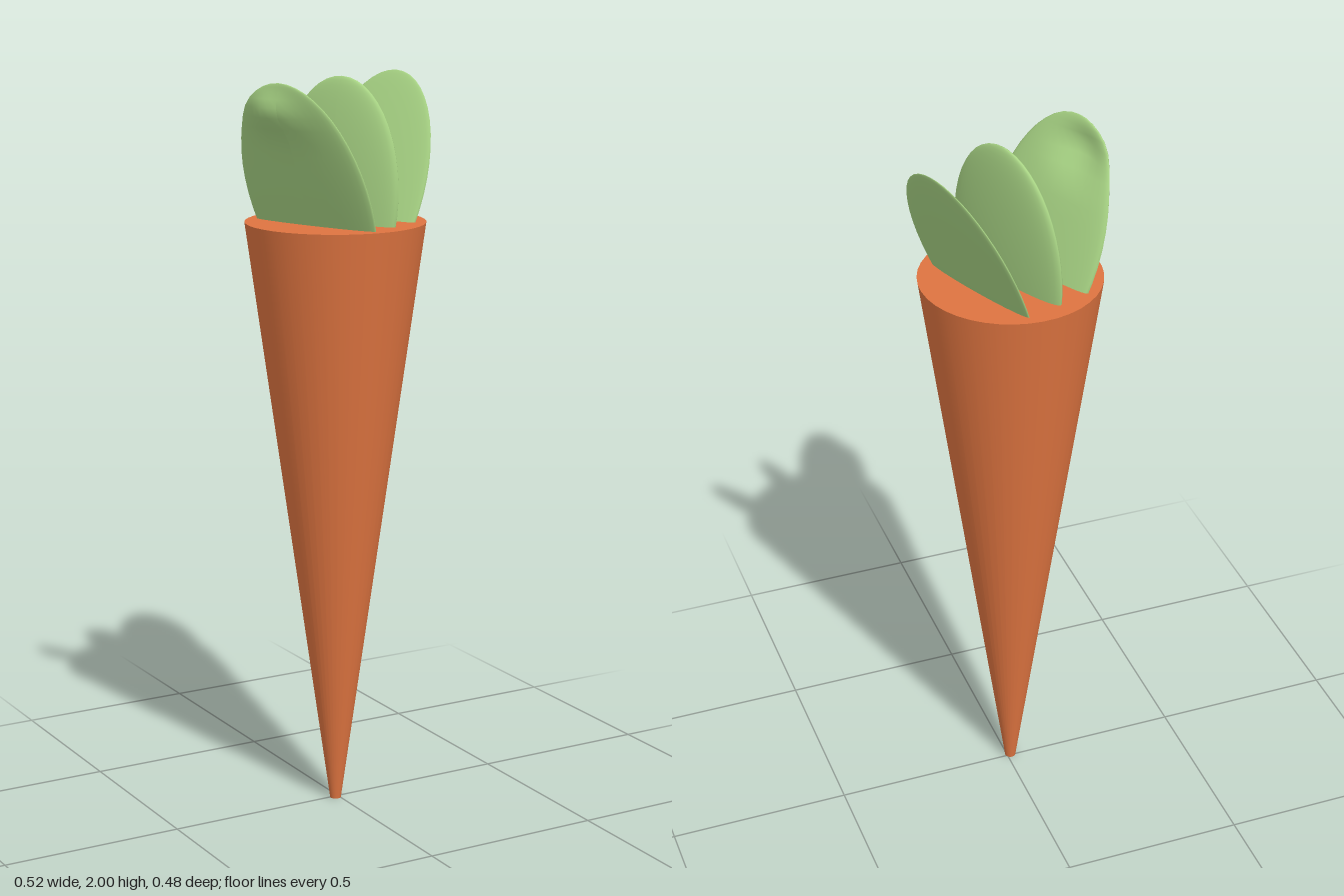
import * as THREE from 'three';

const ORANGE = new THREE.MeshStandardMaterial({ color: 0xde7440 });
const GREEN = new THREE.MeshStandardMaterial({ color: 0xa9d585 });

const ROOT_TOP = 1.62;

// Flattened oval leaf: local x is its thickness, z its width; it leans along x.
function makeLeaf({ name, thick, width, base, lean, curl = 0 }) {
  const geo = new THREE.SphereGeometry(1, 32, 24);
  geo.scale(thick, 0.31, width);
  geo.translate(0, 1.69, 0);
  const p = geo.attributes.position;
  for (let i = 0; i < p.count; i++) {
    const y = p.getY(i), z = p.getZ(i);
    const bump = Math.exp(-(((y - 1.92) / 0.05) ** 2) - ((z + 0.04) / 0.08) ** 2);
    p.setX(i, p.getX(i) + base + lean * (y - ROOT_TOP) + curl * bump);
  }
  geo.computeVertexNormals();
  const leaf = new THREE.Mesh(geo, GREEN);
  leaf.name = name;
  return leaf;
}

export function createModel() {
  const model = new THREE.Group();
  model.name = 'carrot';

  // Tapered root with a small blunt tip
  const root = new THREE.Mesh(new THREE.CylinderGeometry(0.241, 0.015, ROOT_TOP, 40), ORANGE);
  root.position.set(-0.01, ROOT_TOP / 2, 0.005);
  root.name = 'root';
  model.add(root);

  // Three parallel leaves, fanned outwards and turned about the upright axis
  const leaves = new THREE.Group();
  leaves.name = 'leaves';
  leaves.rotation.y = 0.39;
  leaves.add(
    makeLeaf({ name: 'leftLeaf', thick: 0.015, width: 0.19, base: 0.095, lean: 0.42 }),
    makeLeaf({ name: 'middleLeaf', thick: 0.03, width: 0.2, base: -0.005, lean: 0.06 }),
    makeLeaf({ name: 'rightLeaf', thick: 0.022, width: 0.205, base: -0.095, lean: -0.39, curl: -0.035 })
  );
  model.add(leaves);

  return model;
}
